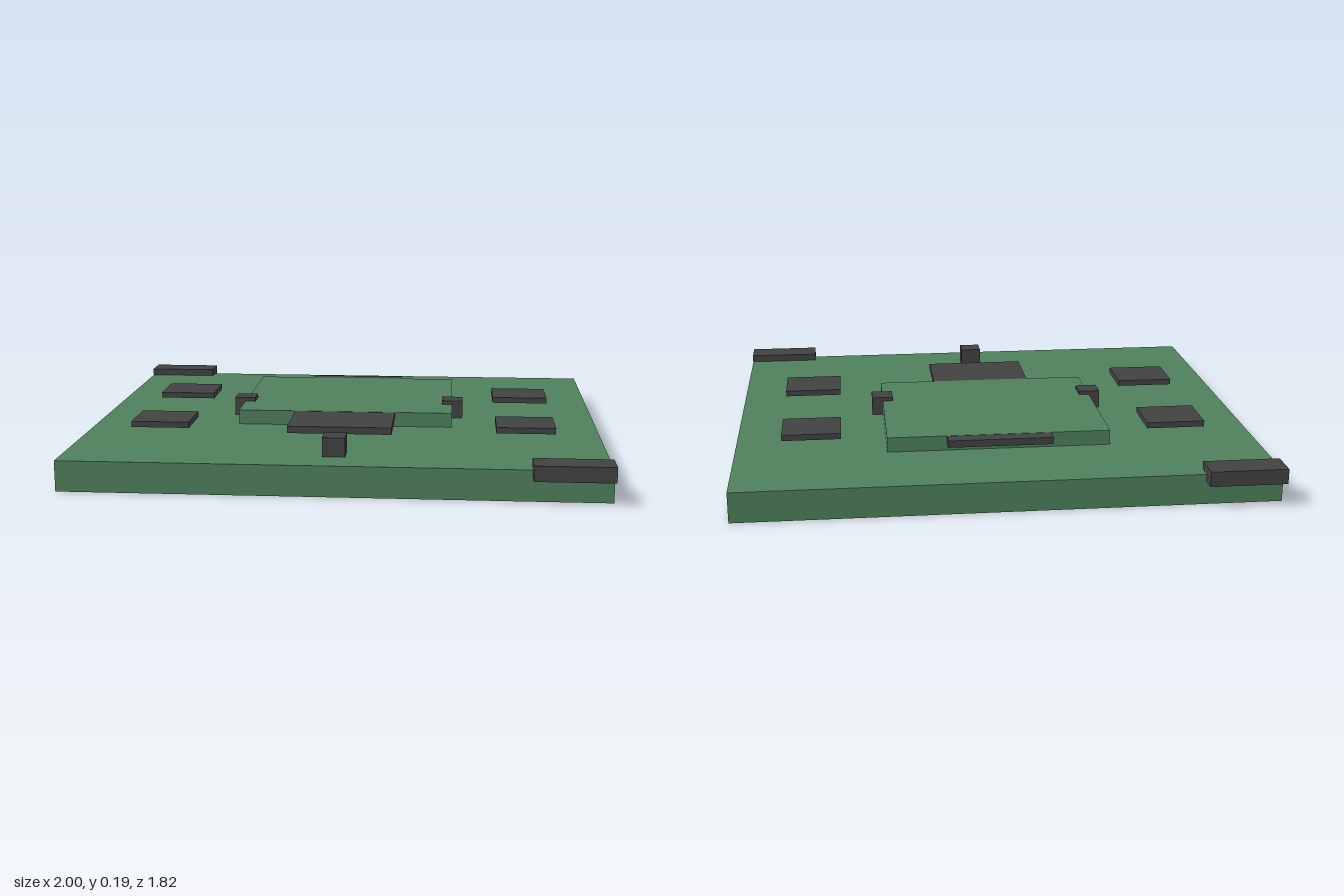
import * as THREE from 'three';

export function createModel() {
  const model = new THREE.Group();
  const green = new THREE.MeshStandardMaterial({ color: 0x4f805c });
  green.name = 'boardGreen';
  const dark = new THREE.MeshStandardMaterial({ color: 0x424242 });
  dark.name = 'componentGrey';

  // Box given by its extents on each axis
  function block(name, material, [x0, x1], [y0, y1], [z0, z1]) {
    const mesh = new THREE.Mesh(new THREE.BoxGeometry(x1 - x0, y1 - y0, z1 - z0), material);
    mesh.position.set((x0 + x1) / 2, (y0 + y1) / 2, (z0 + z1) / 2);
    mesh.name = name;
    model.add(mesh);
  }

  // Base board and raised platform
  block('board', green, [-1, 1], [0, 0.115], [-0.857, 0.857]);
  block('platform', green, [-0.427, 0.427], [0.115, 0.172], [-0.5, 0.213]);

  // Large chip running through the platform, just below its top
  block('mainChip', dark, [-0.2, 0.2], [0.144, 0.171], [-0.556, 0.484]);

  // Four thin chips, slightly clear of the board
  for (const x of [-0.713, 0.713]) {
    for (const z of [-0.285, 0.285]) {
      block('sideChip', dark, [x - 0.114, x + 0.114], [0.134, 0.157], [z - 0.1, z + 0.1]);
    }
  }

  // Small pin blocks at the platform sides and the front
  for (const [x, z] of [[-0.428, 0], [0.428, 0], [0, 0.685]]) {
    block('pin', dark, [x - 0.042, x + 0.042], [0.115, 0.187], [z - 0.042, z + 0.042]);
  }

  // Connectors overhanging opposite corners
  block('frontConnector', dark, [0.714, 1.001], [0.087, 0.144], [0.798, 0.912]);
  block('backConnector', dark, [-1.001, -0.714], [0.087, 0.144], [-0.912, -0.798]);

  return model;
}
